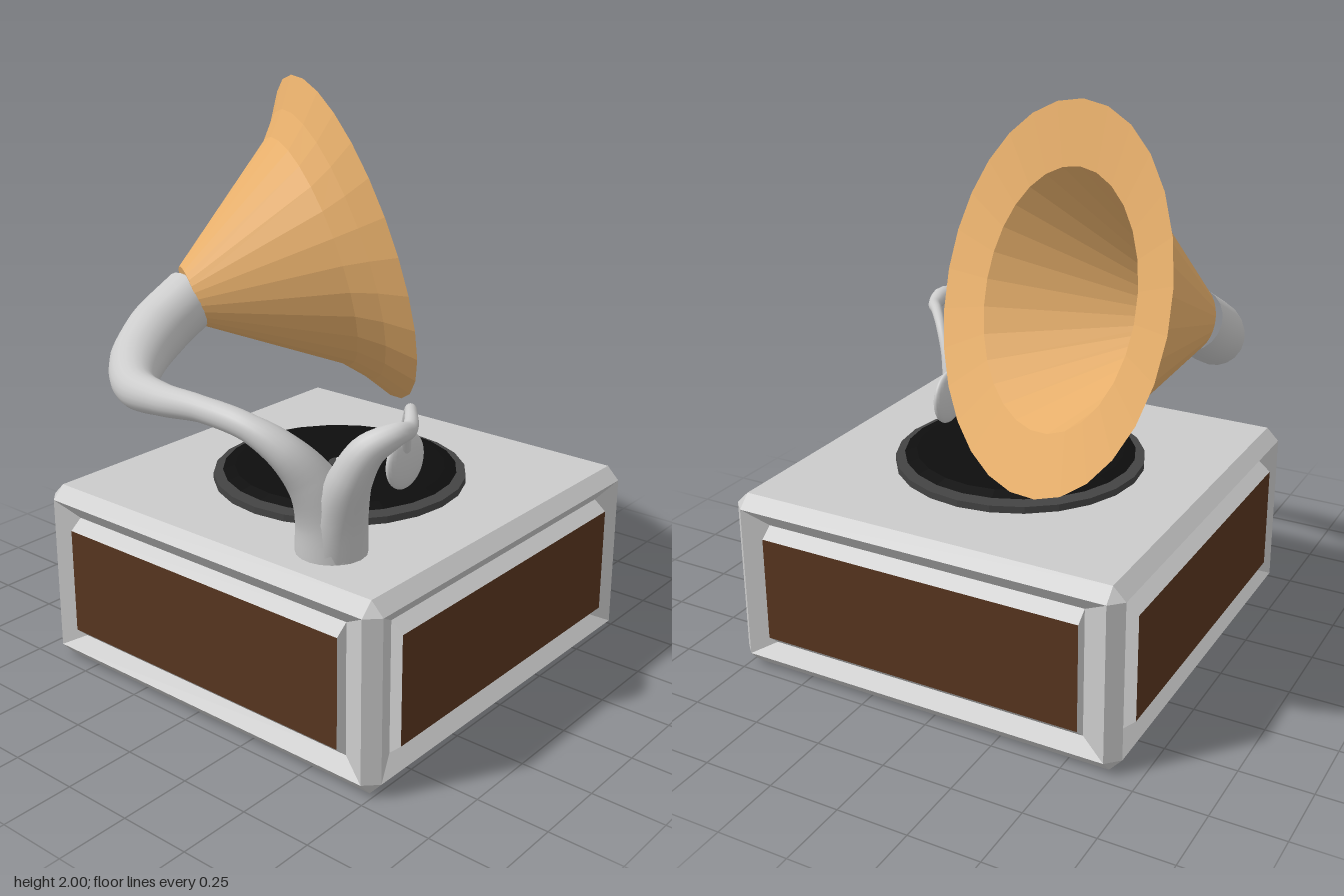
import * as THREE from 'three';

const mat = (color, extra = {}) => new THREE.MeshStandardMaterial({ color, ...extra });
const grey = mat(0xcccccc);
const greyFlat = mat(0xcccccc, { flatShading: true });
const wood = mat(0x57351f);
const brass = mat(0xe8b06c, { flatShading: true, side: THREE.DoubleSide });
const darkGrey = mat(0x444444, { flatShading: true });
const black = mat(0x0e0e0e, { flatShading: true });

function add(parent, name, geometry, material, x = 0, y = 0, z = 0) {
  const mesh = new THREE.Mesh(geometry, material);
  mesh.name = name;
  mesh.position.set(x, y, z);
  parent.add(mesh);
  return mesh;
}

// Flat polygons from corner lists (counter-clockwise seen from outside)
function polygons(faces) {
  const pos = [];
  for (const f of faces)
    for (let i = 1; i < f.length - 1; i++) pos.push(...f[0], ...f[i], ...f[i + 1]);
  const g = new THREE.BufferGeometry();
  g.setAttribute('position', new THREE.Float32BufferAttribute(pos, 3));
  g.computeVertexNormals();
  return g;
}

// Smooth tube whose radius varies; stations are [x, y, z, radius]
function taperedTube(stations, segments, sides) {
  const curve = new THREE.CatmullRomCurve3(stations.map(([x, y, z]) => new THREE.Vector3(x, y, z)));
  const g = new THREE.TubeGeometry(curve, segments, 1, sides);
  const pos = g.attributes.position, nor = g.attributes.normal;
  const p = new THREE.Vector3(), n = new THREE.Vector3();
  for (let i = 0; i <= segments; i++) {
    const u = i / segments;
    curve.getPointAt(u, p);
    const t = curve.getUtoTmapping(u) * (stations.length - 1);
    const k = Math.min(Math.floor(t), stations.length - 2);
    const r = THREE.MathUtils.lerp(stations[k][3], stations[k + 1][3], t - k);
    for (let j = 0; j <= sides; j++) {
      const v = i * (sides + 1) + j;
      n.fromBufferAttribute(nor, v).multiplyScalar(r).add(p);
      pos.setXYZ(v, n.x, n.y, n.z);
    }
  }
  return g;
}

// One side of the cabinet: bevels, grooved frame and right-hand corner post
function cabinetSide() {
  const side = new THREE.Group();
  const ring = (hx, y0, y1, z) => [[-hx, y0, z], [hx, y0, z], [hx, y1, z], [-hx, y1, z]];
  const rings = [
    ring(0.685, 0, 0.655, 0.685),
    ring(0.685, 0.05, 0.61, 0.73),
    ring(0.595, 0.1, 0.555, 0.69),
    ring(0.595, 0.14, 0.52, 0.734),
  ];
  const faces = [];
  for (let r = 0; r < 3; r++)
    for (let i = 0; i < 4; i++) {
      const j = (i + 1) % 4;
      faces.push([rings[r][i], rings[r][j], rings[r + 1][j], rings[r + 1][i]]);
    }
  const a0 = [0.685, 0.05, 0.73], a1 = [0.685, 0.61, 0.73];
  const b0 = [0.73, 0.05, 0.685], b1 = [0.73, 0.61, 0.685];
  faces.push([a0, b0, b1, a1], [a1, b1, [0.685, 0.655, 0.685]], [a0, [0.685, 0, 0.685], b0]);
  add(side, 'sideFrame', polygons(faces), greyFlat);
  add(side, 'sidePanel', polygons([rings[3]]), wood);
  return side;
}

export function createModel() {
  const model = new THREE.Group();
  const cx = 0.045;

  // Cabinet
  const cabinet = new THREE.Group();
  cabinet.name = 'cabinet';
  cabinet.position.x = cx;
  model.add(cabinet);
  add(cabinet, 'cabinetCore', new THREE.BoxGeometry(1.37, 0.655, 1.37), greyFlat, 0, 0.3275, 0);
  for (let i = 0; i < 4; i++) {
    const side = cabinetSide();
    side.name = 'cabinetSide';
    side.rotation.y = i * Math.PI / 2;
    cabinet.add(side);
  }

  // Turntable, record and spindle
  add(model, 'platter', new THREE.CylinderGeometry(0.445, 0.445, 0.025, 24), darkGrey, cx, 0.667, 0);
  const recordProfile = [[0, 0.678], [0.37, 0.678], [0.412, 0.692], [0.37, 0.704], [0, 0.704]];
  add(model, 'record', new THREE.LatheGeometry(recordProfile.map(p => new THREE.Vector2(...p)), 24), black, cx, 0, 0);
  add(model, 'recordHub', new THREE.CylinderGeometry(0.04, 0.04, 0.004, 16), darkGrey, cx, 0.705, 0);
  add(model, 'spindle', new THREE.CylinderGeometry(0.014, 0.014, 0.04, 12), grey, cx, 0.698, 0);

  // Horn: outer cone, flared rim, inner cone
  const hornProfile = [[0, 0], [0.112, 0], [0.44, 0.46], [0.52, 0.53], [0.624, 0.6],
    [0.42, 0.565], [0.09, 0.03], [0, 0.03]];
  const horn = add(model, 'horn', new THREE.LatheGeometry(hornProfile.map(p => new THREE.Vector2(...p)), 28), brass,
    -0.54, 1.238, 0.137);
  horn.quaternion.setFromUnitVectors(new THREE.Vector3(0, 1, 0), new THREE.Vector3(0.5, 0.27, -0.82).normalize());

  // Curved neck from the horn round to the column
  add(model, 'hornNeck', taperedTube([
    [-0.535, 1.235, 0.13, 0.11], [-0.545, 1.14, 0.3, 0.11], [-0.5, 1.07, 0.44, 0.098],
    [-0.38, 1.038, 0.56, 0.072], [-0.2, 1.048, 0.615, 0.055], [0, 1.062, 0.628, 0.043],
    [0.19, 1.045, 0.622, 0.044], [0.31, 0.985, 0.59, 0.06], [0.375, 0.89, 0.54, 0.08],
    [0.41, 0.78, 0.505, 0.104], [0.42, 0.65, 0.495, 0.117],
  ], 64, 20), grey);

  // Tonearm branching from the column
  add(model, 'tonearm', taperedTube([
    [0.43, 0.66, 0.495, 0.11], [0.465, 0.8, 0.505, 0.088], [0.515, 0.93, 0.515, 0.068],
    [0.56, 1.02, 0.49, 0.055], [0.61, 1.063, 0.42, 0.037], [0.6, 1.056, 0.34, 0.026],
    [0.535, 1.065, 0.245, 0.02], [0.475, 1.045, 0.17, 0.018], [0.42, 0.96, 0.115, 0.018],
    [0.385, 0.86, 0.075, 0.022],
  ], 56, 16), grey);

  // Round sound box at the tip of the tonearm
  const soundBox = add(model, 'soundBox', new THREE.SphereGeometry(0.1, 24, 16), grey, 0.376, 0.812, 0.06);
  soundBox.scale.x = 0.27;

  return model;
}
